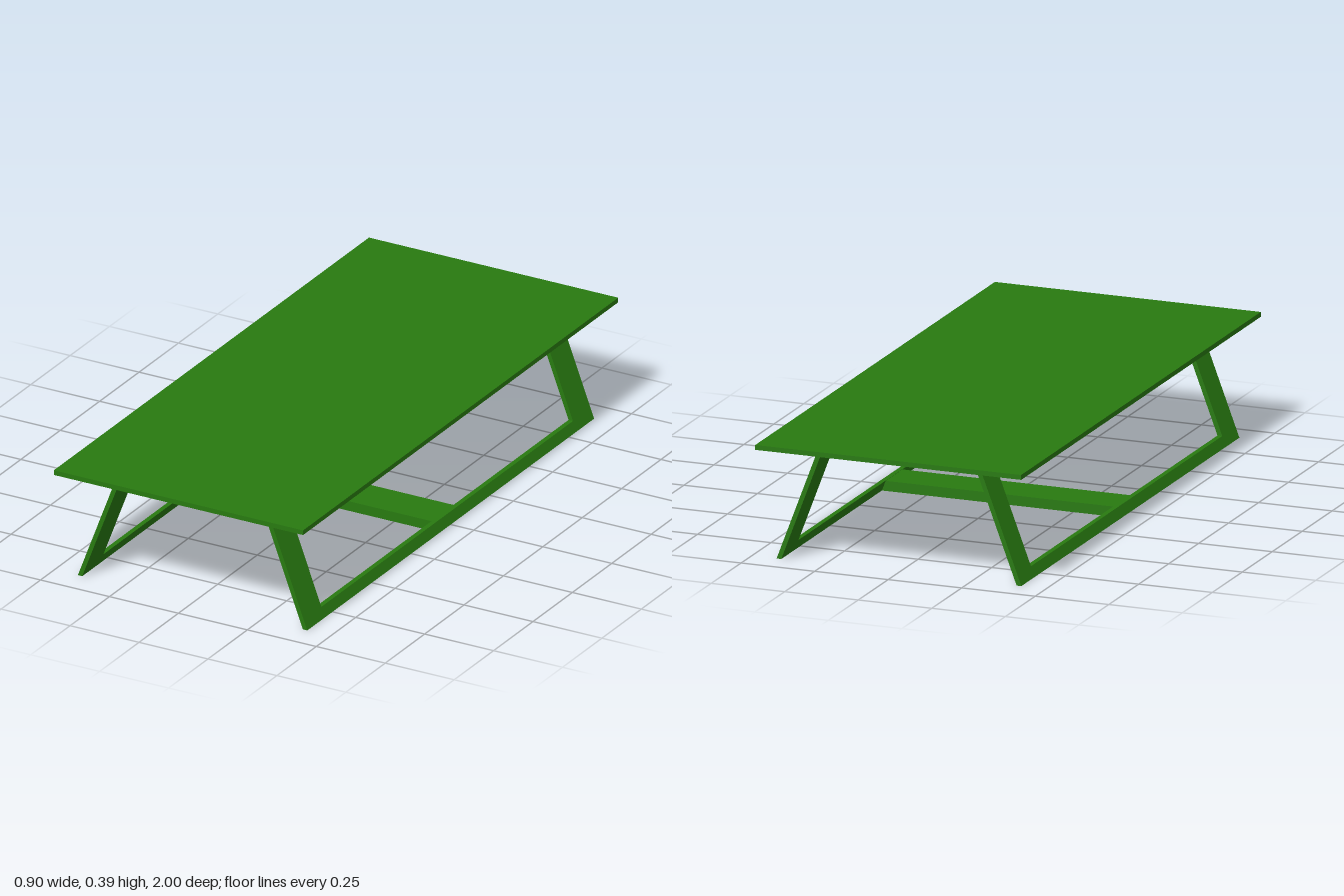
import * as THREE from 'three';

const green = new THREE.MeshStandardMaterial({ color: 0x287a10 });
const LEAN = 0.378; // inward x per unit of height
const FOOT = 0.408; // x of the frame's centre plane on the floor

function polygon(points) {
  return new THREE.Shape(points.map(([x, y]) => new THREE.Vector2(x, y)));
}

function extrude(points, depth) {
  const geometry = new THREE.ExtrudeGeometry(polygon(points), { depth, bevelEnabled: false });
  return geometry.translate(0, 0, -depth / 2);
}

function addPart(group, name, geometry) {
  const mesh = new THREE.Mesh(geometry, green);
  mesh.name = name;
  group.add(mesh);
  return mesh;
}

// U-shaped frame: two wide legs joined by a floor rail, leaning inwards
function legFrame(side) {
  const geometry = extrude([
    [-0.91, 0], [0.91, 0], [0.91, 0.363], [0.798, 0.363],
    [0.798, 0.034], [-0.798, 0.034], [-0.798, 0.363], [-0.91, 0.363],
  ], 0.016);
  geometry.rotateY(Math.PI / 2);
  const p = geometry.attributes.position;
  for (let i = 0; i < p.count; i++) {
    p.setX(i, p.getX(i) + side * (FOOT - LEAN * p.getY(i)));
  }
  geometry.computeVertexNormals();
  return geometry;
}

export function createModel() {
  const table = new THREE.Group();
  table.name = 'table';

  // Thin rectangular top
  addPart(table, 'tableTop', new THREE.BoxGeometry(0.904, 0.016, 2)).position.y = 0.384;

  // Support under the top, tapering to its long edges
  addPart(table, 'topSupport', extrude([
    [-0.27, 0.362], [0.27, 0.362], [0.45, 0.377], [-0.45, 0.377],
  ], 1.82));

  // Leaning leg frames
  addPart(table, 'leftLegFrame', legFrame(1));
  addPart(table, 'rightLegFrame', legFrame(-1));

  // Flat crossbar between the floor rails
  const h = 0.033;
  const top = FOOT - LEAN * h;
  addPart(table, 'crossbar', extrude([
    [-FOOT, 0], [FOOT, 0], [top, h], [-top, h],
  ], 0.14));

  return table;
}
